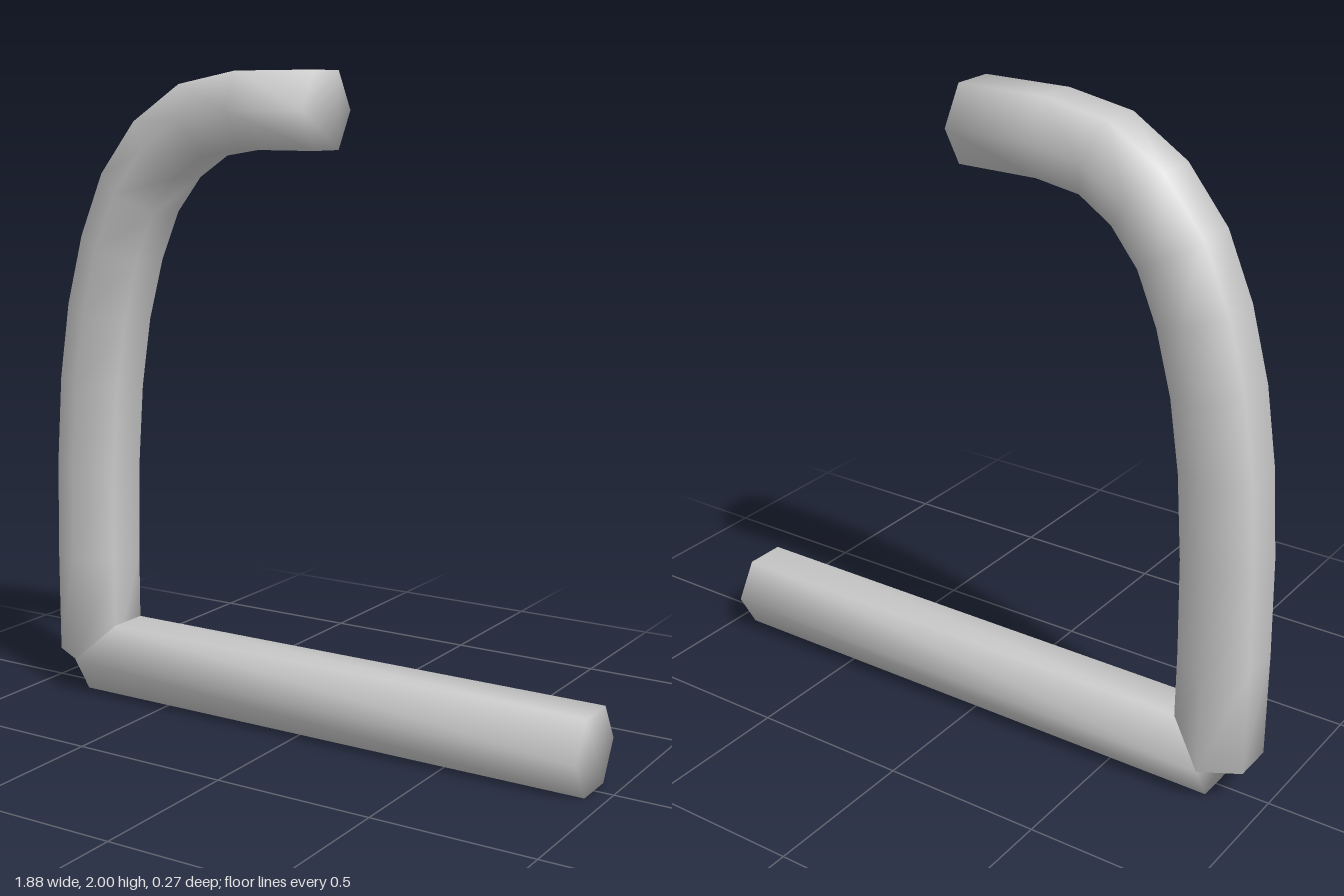
import * as THREE from 'three';

const SIDES = 6;
const RADIUS = 0.133;

// Closed six-sided pipe along a path of [x, y] points, shading smooth across its end caps
function pipe(name, path, material) {
  const positions = [];
  const index = [];
  const last = path.length - 1;
  const direction = (a, b) => new THREE.Vector2(b[0] - a[0], b[1] - a[1]).normalize();

  path.forEach(([x, y], i) => {
    const t = new THREE.Vector2();
    if (i > 0) t.add(direction(path[i - 1], path[i]));
    if (i < last) t.add(direction(path[i], path[i + 1]));
    t.normalize();
    for (let k = 0; k < SIDES; k++) {
      const angle = (k / SIDES) * Math.PI * 2;
      const s = Math.sin(angle) * RADIUS;
      positions.push(x - t.y * s, y + t.x * s, Math.cos(angle) * RADIUS);
    }
  });

  // Walls
  for (let i = 0; i < last; i++) {
    for (let k = 0; k < SIDES; k++) {
      const n = (k + 1) % SIDES;
      const a = i * SIDES + k, b = i * SIDES + n;
      index.push(a, a + SIDES, b, b, a + SIDES, b + SIDES);
    }
  }
  // End caps
  const end = last * SIDES;
  for (let j = 1; j < SIDES - 1; j++) {
    const p = 4, q = (4 + j) % SIDES, r = (5 + j) % SIDES;
    index.push(p, q, r, end + p, end + r, end + q);
  }

  const geometry = new THREE.BufferGeometry();
  geometry.setAttribute('position', new THREE.Float32BufferAttribute(positions, 3));
  geometry.setIndex(index);
  geometry.computeVertexNormals();
  const mesh = new THREE.Mesh(geometry, material);
  mesh.name = name;
  return mesh;
}

export function createModel() {
  const group = new THREE.Group();
  group.name = 'bentPipe';
  const grey = new THREE.MeshStandardMaterial({ color: 0xcccccc });
  grey.name = 'light grey';

  // Straight bar along the ground
  group.add(pipe('baseBar', [[-0.827, 0.115], [0.94, 0.115]], grey));

  // Upright that bends over into a short level arm
  group.add(pipe('curvedUpright', [
    [-0.827, 0.117], [-0.827, 0.45], [-0.82, 0.75], [-0.8, 1.02], [-0.764, 1.25],
    [-0.708, 1.455], [-0.633, 1.63], [-0.525, 1.765], [-0.387, 1.855],
    [-0.215, 1.885], [0.053, 1.885],
  ], grey));

  return group;
}
